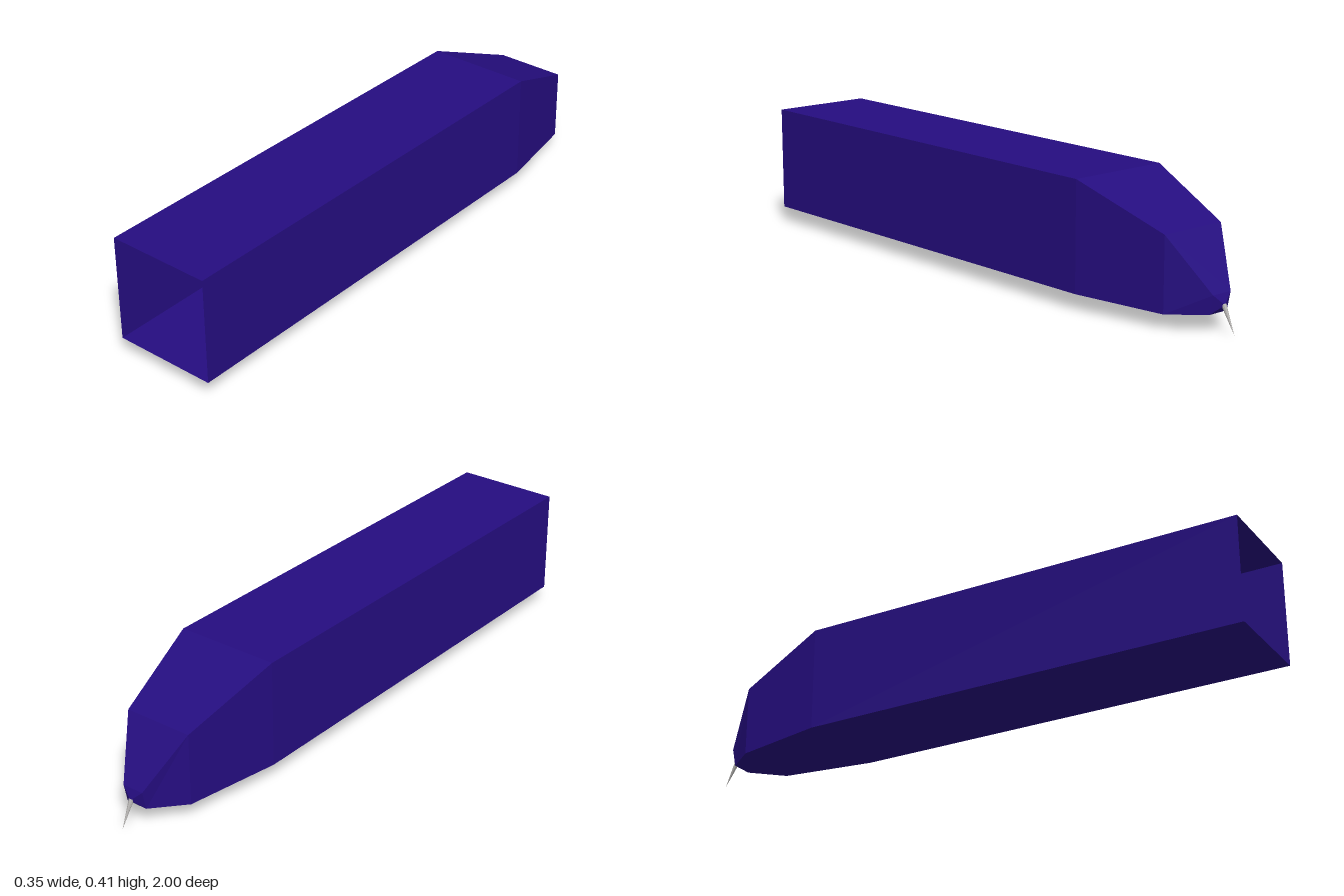
import * as THREE from 'three';

// Hull cross-sections, front to back: half width, bottom y, top y, bottom z, top z
const SECTIONS = [
  [0.175, 0.053, 0.405, 1, 1],
  [0.175, 0.053, 0.405, -0.52, -0.52],
  [0.118, 0.048, 0.285, -0.83, -0.83],
  [0.037, 0.054, 0.115, -0.935, -0.948],
];
const APEX = [0, 0.082, -0.962];

// Joins the rectangular sections into a tube, open in front and pointed at the back
function hullGeometry() {
  const rings = SECTIONS.map(([w, y0, y1, z0, z1]) => [
    [-w, y0, z0], [w, y0, z0], [w, y1, z1], [-w, y1, z1],
  ]);
  const points = [];
  rings.forEach((ring, i) => {
    const next = rings[i + 1];
    for (let j = 0; j < 4; j++) {
      const k = (j + 1) % 4;
      if (next) points.push(ring[j], next[j], next[k], ring[j], next[k], ring[k]);
      else points.push(ring[j], APEX, ring[k]);
    }
  });
  const geometry = new THREE.BufferGeometry();
  geometry.setAttribute('position', new THREE.Float32BufferAttribute(points.flat(), 3));
  geometry.computeVertexNormals();
  return geometry;
}

export function createModel() {
  const indigo = new THREE.MeshStandardMaterial({
    name: 'indigo', color: 0x250d80, flatShading: true, side: THREE.DoubleSide,
  });
  const grey = new THREE.MeshStandardMaterial({ name: 'grey', color: 0xb4b2b0, flatShading: true });

  const model = new THREE.Group();
  model.name = 'taperedBody';

  // Hollow body with a tapered end
  const body = new THREE.Mesh(hullGeometry(), indigo);
  body.name = 'body';

  // Slender spike slanting down from the tapered end
  const base = new THREE.Vector3(0, 0.084, -0.956);
  const tip = new THREE.Vector3(0, 0, -1);
  const direction = tip.clone().sub(base);
  const spike = new THREE.Mesh(new THREE.ConeGeometry(0.008, direction.length(), 8), grey);
  spike.name = 'spike';
  spike.position.copy(base).lerp(tip, 0.5);
  spike.quaternion.setFromUnitVectors(new THREE.Vector3(0, 1, 0), direction.normalize());

  model.add(body, spike);
  return model;
}
